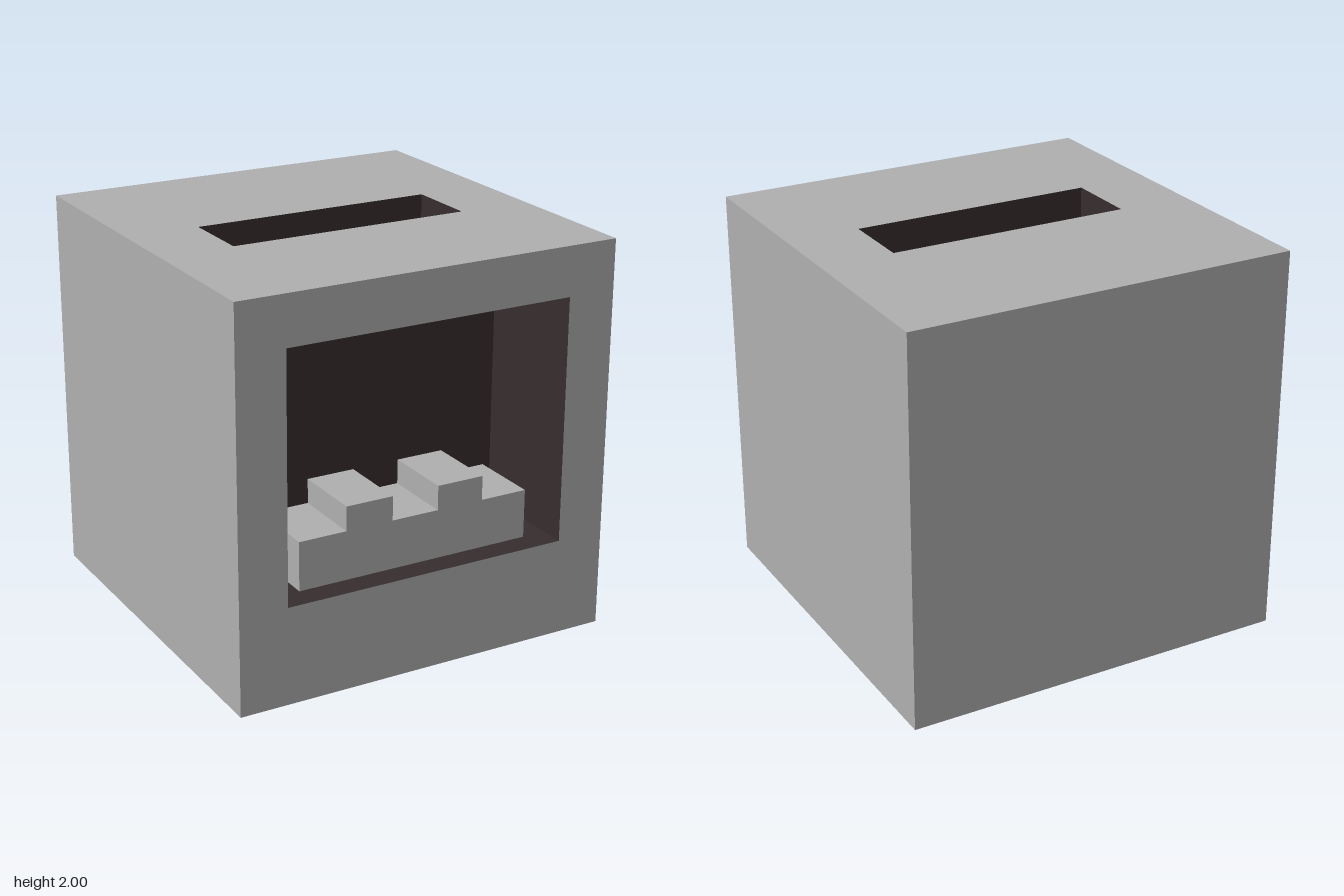
import * as THREE from 'three';

const stone = new THREE.MeshStandardMaterial({ color: 0xb0b0b0 });
stone.name = 'stone grey';
const soot = new THREE.MeshStandardMaterial({ color: 0x372d2e });
soot.name = 'soot dark';

function add(parent, name, geometry, material) {
  const mesh = new THREE.Mesh(geometry, material);
  mesh.name = name;
  parent.add(mesh);
  return mesh;
}

// closed outline from a list of [x, y] corners
const outline = (points, Type = THREE.Shape) =>
  new Type(points.map(([x, y]) => new THREE.Vector2(x, y)));

// 2 x 2 wall facing +z, with a rectangular pocket sunk into it
function pocketWall(name, [x0, x1, y0, y1], depth) {
  const group = new THREE.Group();
  group.name = name;
  const w = x1 - x0, h = y1 - y0, cx = (x0 + x1) / 2, cy = (y0 + y1) / 2;

  const wall = outline([[-1, -1], [1, -1], [1, 1], [-1, 1]]);
  wall.holes.push(outline([[x0, y0], [x0, y1], [x1, y1], [x1, y0]], THREE.Path));
  add(group, name + 'Face', new THREE.ShapeGeometry(wall), stone);

  // lining: back and four sides, all facing into the pocket
  const lining = (part, pw, ph, rx, ry, x, y, z) => {
    const g = new THREE.PlaneGeometry(pw, ph).rotateX(rx).rotateY(ry).translate(x, y, z);
    add(group, name + part, g, soot);
  };
  const q = Math.PI / 2;
  lining('PocketBack', w, h, 0, 0, cx, cy, -depth);
  lining('PocketFloor', w, depth, -q, 0, cx, y0, -depth / 2);
  lining('PocketCeiling', w, depth, q, 0, cx, y1, -depth / 2);
  lining('PocketSideA', depth, h, 0, q, x0, cy, -depth / 2);
  lining('PocketSideB', depth, h, 0, -q, x1, cy, -depth / 2);
  return group;
}

export function createModel() {
  const model = new THREE.Group();
  model.name = 'furnace';

  // front with the fire opening
  const front = pocketWall('front', [-0.75, 0.75, -0.5, 0.75], 0.625);
  front.position.set(0, 1, 1);
  model.add(front);

  // top with the feed slot
  const top = pocketWall('top', [-0.625, 0.625, -0.25, 0.125], 0.625);
  top.rotation.x = -Math.PI / 2;
  top.position.y = 2;
  model.add(top);

  // plain walls: name, turn about x, turn about y, centre
  const walls = [
    ['leftWall', 0, Math.PI / 2, 1, 1, 0],
    ['rightWall', 0, -Math.PI / 2, -1, 1, 0],
    ['backWall', 0, Math.PI, 0, 1, -1],
    ['base', Math.PI / 2, 0, 0, 0, 0],
  ];
  for (const [name, rx, ry, x, y, z] of walls) {
    add(model, name, new THREE.PlaneGeometry(2, 2).rotateX(rx).rotateY(ry).translate(x, y, z), stone);
  }

  // notched grate standing inside the opening
  const half = [[0.625, 0], [0.625, 0.25], [0.375, 0.25], [0.375, 0.375], [0.125, 0.375], [0.125, 0.25]];
  const mirrored = half.map(([x, y]) => [-x, y]).reverse();
  const grate = new THREE.ExtrudeGeometry(outline([...half, ...mirrored]), { depth: 0.375, bevelEnabled: false });
  add(model, 'grate', grate, stone).position.set(0, 0.5, 0.5);

  return model;
}
